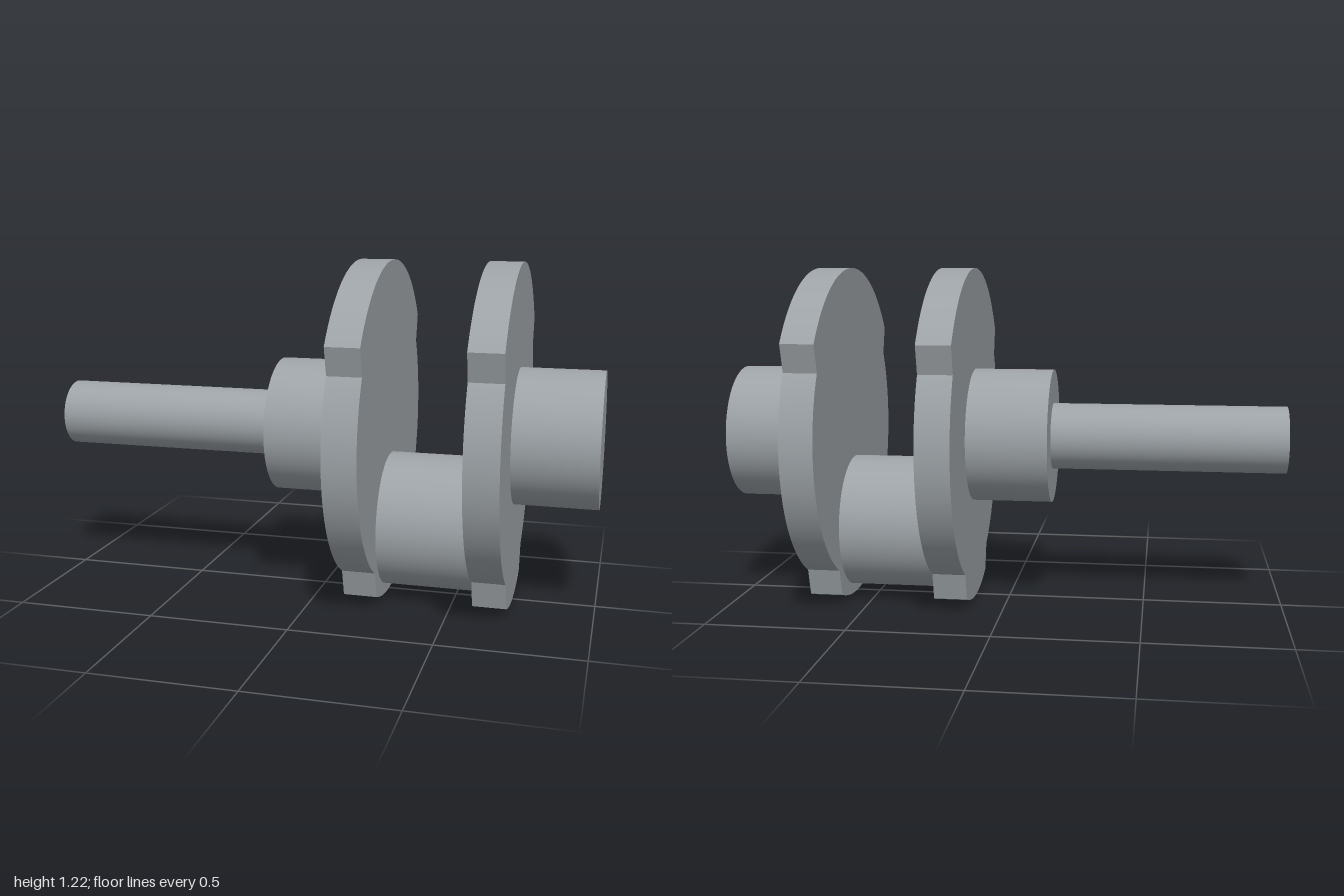
import * as THREE from 'three';
import { toCreasedNormals } from 'three/addons/utils/BufferGeometryUtils.js';

const AXIS_Y = 0.611; // height of the main rotation axis
const PIN_Y = 0.277; // height of the offset crank pin

export function createModel() {
  const model = new THREE.Group();
  model.name = 'crankshaft';
  const steel = new THREE.MeshStandardMaterial({ color: 0x9ca2a6 });
  steel.name = 'steel grey';

  // Round bar lying along x
  function bar(name, x0, x1, y, radius) {
    const geometry = new THREE.CylinderGeometry(radius, radius, x1 - x0, 96);
    geometry.rotateZ(-Math.PI / 2);
    const mesh = new THREE.Mesh(geometry, steel);
    mesh.name = name;
    mesh.position.set((x0 + x1) / 2, y, 0);
    model.add(mesh);
  }

  // Web outline: a disc with a wide raised arc on top and a short one below
  const outline = new THREE.Shape();
  const arcs = [
    [0.61, 36.4, 143.6],
    [0.532, 150.4, 242.6],
    [0.61, 249.3, 290.7],
    [0.532, 297.4, 389.6],
  ];
  for (const [radius, from, to] of arcs) {
    outline.absarc(0, 0, radius, THREE.MathUtils.degToRad(from), THREE.MathUtils.degToRad(to), false);
  }
  outline.closePath();

  // Web plate extruded along x
  function web(name, x0, x1) {
    let geometry = new THREE.ExtrudeGeometry(outline, {
      depth: x1 - x0, bevelEnabled: false, curveSegments: 40,
    });
    geometry.rotateY(Math.PI / 2);
    geometry = toCreasedNormals(geometry, 0.4);
    const mesh = new THREE.Mesh(geometry, steel);
    mesh.name = name;
    mesh.position.set(x0, AXIS_Y, 0);
    model.add(mesh);
  }

  bar('driveShaft', -1, -0.162, AXIS_Y, 0.12);
  bar('rightJournal', -0.162, 0.127, AXIS_Y, 0.243);
  web('rightWeb', 0.127, 0.247);
  bar('crankPin', 0.247, 0.588, PIN_Y, 0.243);
  web('leftWeb', 0.588, 0.706);
  bar('leftJournal', 0.706, 1, AXIS_Y, 0.243);

  return model;
}
